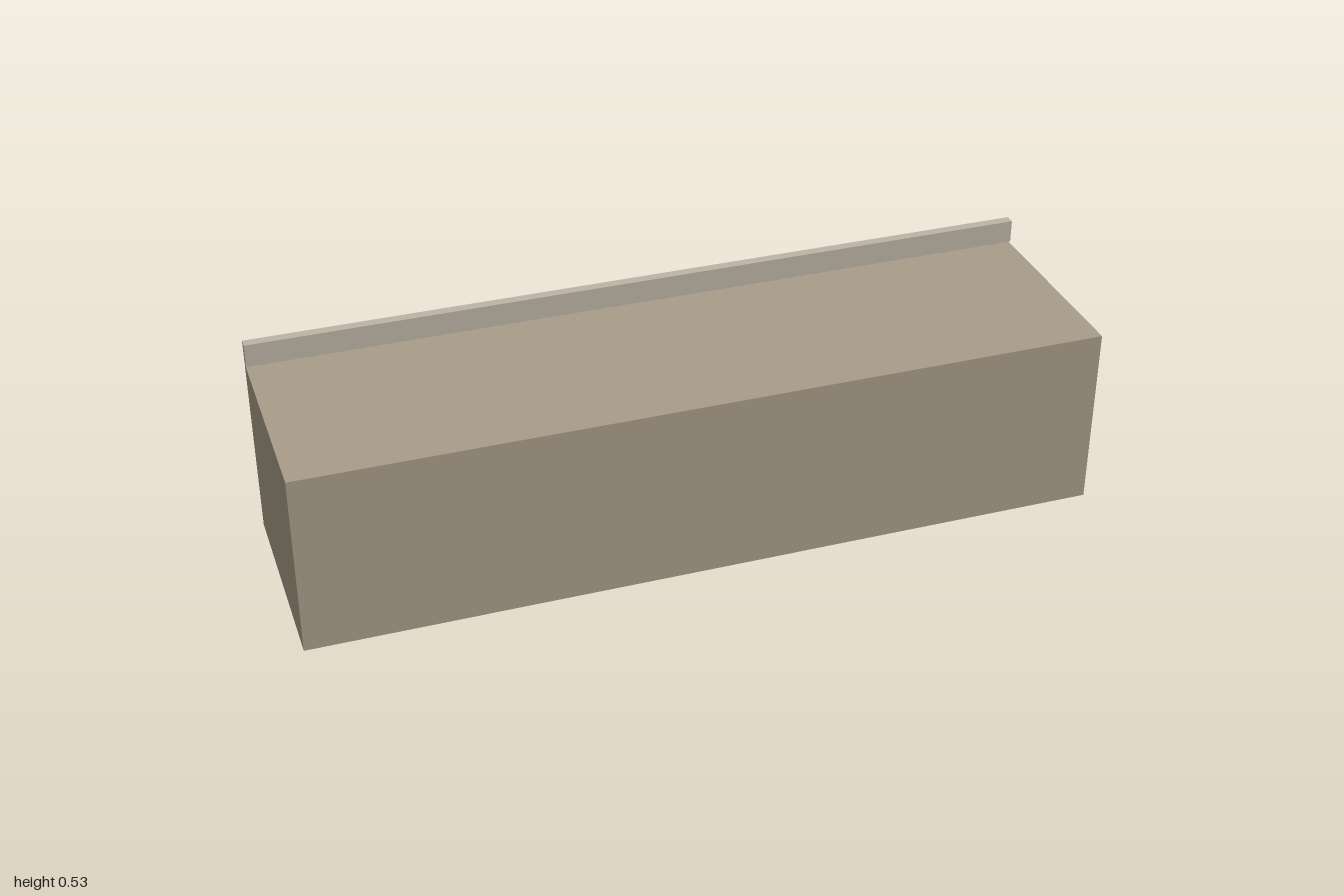
import * as THREE from 'three';

const bodyMaterial = new THREE.MeshStandardMaterial({ color: 0xa99d89 });
const railMaterial = new THREE.MeshStandardMaterial({ color: 0xbdb4a5 });

// Box given by its [min, max] extents on each axis
function box(name, [x0, x1], [y0, y1], [z0, z1], material) {
  const mesh = new THREE.Mesh(new THREE.BoxGeometry(x1 - x0, y1 - y0, z1 - z0), material);
  mesh.position.set((x0 + x1) / 2, (y0 + y1) / 2, (z0 + z1) / 2);
  mesh.name = name;
  return mesh;
}

export function createModel() {
  const model = new THREE.Group();
  model.name = 'longBlock';

  // Main block
  model.add(box('body', [-1, 1], [0, 0.467], [-0.235, 0.3], bodyMaterial));

  // Thin rail floating just above the back top edge
  model.add(box('topRail', [-1, 1], [0.472, 0.531], [-0.235, -0.21], railMaterial));

  // Row of flat tabs along the foot of the back
  const tabs = new THREE.Group();
  tabs.name = 'backTabs';
  for (let i = 0; i < 9; i++) {
    const x = -0.933 + i * 0.2;
    tabs.add(box('backTab', [x, x + 0.134], [0.012, 0.03], [-0.3, -0.235], bodyMaterial));
  }
  model.add(tabs);

  return model;
}
